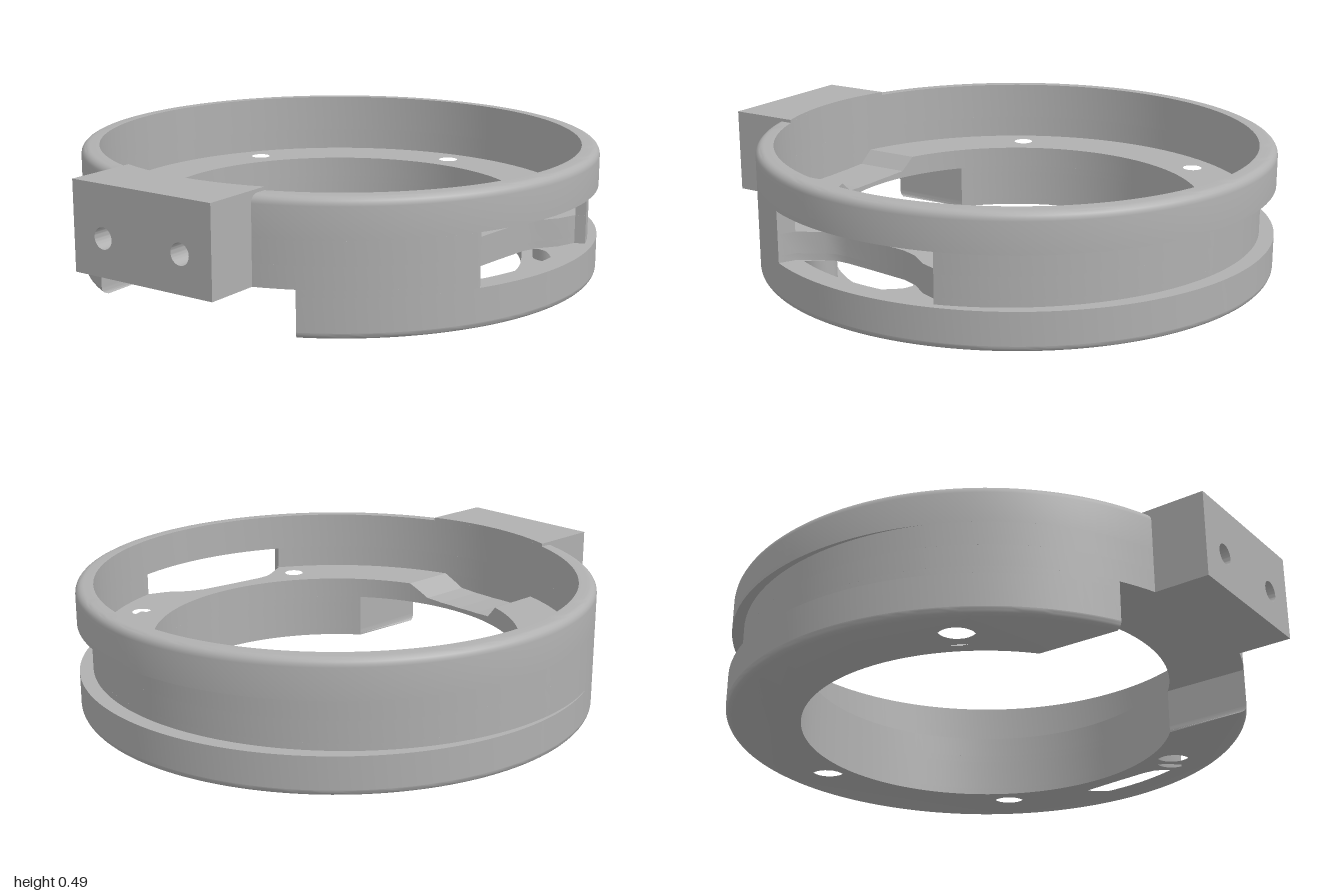
import * as THREE from 'three';
import { toCreasedNormals } from 'three/addons/utils/BufferGeometryUtils.js';

const RAD = Math.PI / 180;
const OUTER = 0.972, WALL = 0.905, BORE = 0.695;
const BLOCK = 136.6;                       // plan angle of the clamp block, from +x towards +z
const ux = Math.cos(BLOCK * RAD), uz = Math.sin(BLOCK * RAD);
const WINDOW = [31, 73.6];                 // plan angles of the side window

// plan points are [x, z] measured from the ring centre
const polar = (r, deg) => [r * Math.cos(deg * RAD), r * Math.sin(deg * RAD)];
// t runs across the block, u runs outward through it
const blockPoint = (t, u) => [t * uz + u * ux, -t * ux + u * uz];
const arc = (radius, a, b) => {
  const n = Math.max(2, Math.ceil(Math.abs(b - a) / 2));
  return Array.from({ length: n + 1 }, (_, i) => {
    const deg = a + (b - a) * i / n;
    return polar(typeof radius === 'function' ? radius(deg) : radius, deg);
  });
};
const groove = deg => Math.min(OUTER, 0.955 + 0.041 * Math.cos((deg - BLOCK) * RAD));
const vectors = pts => pts.map(([x, z]) => new THREE.Vector2(x, -z));

// horizontal slab between two heights
function slab(outline, y0, y1, holes = [], steps = 1) {
  const shape = new THREE.Shape(vectors(outline));
  holes.forEach(h => shape.holes.push(new THREE.Path(vectors(h))));
  const geo = new THREE.ExtrudeGeometry(shape, { depth: y1 - y0, bevelEnabled: false, steps });
  return geo.rotateX(-Math.PI / 2).translate(0, y0, 0);
}

// pocket edge, from the first window angle to the second
const pocketInner = [[0.555, 0.535], [0.44, 0.62], [0.335, 0.70], [0.30, 0.735], [0.285, 0.77]];
const pocketOpen = [[0.775, 0.467], [0.70, 0.50], [0.615, 0.51], ...pocketInner, [0.256, 0.868]];
const pocketThrough = [
  [0.555, 0.535], [0.595, 0.512], [0.62, 0.52], [0.635, 0.55], [0.635, 0.58],
  ...arc(0.888, 45, 72), ...pocketInner.slice(1).reverse(),
];

// ring with a straight-sided gap at the block (t from -left to +right)
function gappedRing(radius, left, right, withPocket) {
  const startAt = r => BLOCK + Math.asin(left / r) / RAD;
  const endAt = r => BLOCK + 360 - Math.asin(right / r) / RAD;
  const a = startAt(OUTER), b = endAt(OUTER);
  const outside = withPocket
    ? [...arc(radius, a, WINDOW[0] + 360), ...pocketOpen, ...arc(radius, WINDOW[1] + 360, b)]
    : arc(radius, a, b);
  return [...outside, ...arc(BORE, endAt(BORE), startAt(BORE))];
}

// five screw holes on a six-step bolt circle, the block takes the sixth
const screwHoles = r => [16.6, 76.6, 196.6, 256.6, 316.6].map(deg => {
  const [cx, cz] = polar(0.806, deg);
  return Array.from({ length: 24 }, (_, i) => {
    const [x, z] = polar(r, i * 15);
    return [cx + x, cz + z];
  });
});

export function createModel() {
  const grey = new THREE.MeshStandardMaterial({ color: 0xb0b0b0 });
  grey.name = 'grey';
  const model = new THREE.Group();
  model.name = 'clampRing';
  const add = (name, geo) => {
    const mesh = new THREE.Mesh(toCreasedNormals(geo, 0.6), grey);
    mesh.name = name;
    model.add(mesh);
    return mesh;
  };

  // lower flange, notched under the block, with a rounded bottom edge
  const R = 0.025;
  const flange = gappedRing(OUTER, 0.43, 0.43, false);
  const lowHoles = [...screwHoles(0.068), pocketThrough];
  const edge = slab(flange, 0, R, lowHoles, 4);
  const p = edge.attributes.position;
  for (let i = 0; i < p.count; i++) {
    const r = Math.hypot(p.getX(i), p.getZ(i));
    if (r < OUTER - 0.005) continue;
    const d = R - p.getY(i);
    const k = (OUTER - R + Math.sqrt(Math.max(0, R * R - d * d))) / OUTER;
    p.setX(i, p.getX(i) * k);
    p.setZ(i, p.getZ(i) * k);
  }
  add('lowerFlangeEdge', edge);
  add('lowerFlange', slab(flange, R, 0.145, lowHoles));

  // floor inside the tapering groove
  add('floorLower', slab(gappedRing(groove, 0.43, 0.43, true), 0.145, 0.17, screwHoles(0.068)));
  add('floorUpper', slab(gappedRing(groove, 0.23, 0.24, true), 0.17, 0.25, screwHoles(0.038)));

  // shallow channel in the floor leading to the block, one strip per slope
  const channel = [[-0.23, 0.25], [-0.18, 0.198], [-0.1, 0.19], [0, 0.187], [0.09, 0.19], [0.16, 0.198], [0.24, 0.25]];
  for (let i = 0; i < channel.length - 1; i++) {
    const [t0, y0] = channel[i], [t1, y1] = channel[i + 1];
    const side = (r, n) => Array.from({ length: n + 1 }, (_, j) => {
      const t = t0 + (t1 - t0) * j / n;
      return blockPoint(t, Math.sqrt(r * r - t * t));
    });
    const geo = slab([...side(BORE, 4), ...side(0.94, 4).reverse()], 0.17, 0.25);
    const q = geo.attributes.position;
    for (let j = 0; j < q.count; j++) {
      if (q.getY(j) < 0.2) continue;
      const t = q.getX(j) * uz - q.getZ(j) * ux;
      q.setY(j, y0 + (y1 - y0) * (t - t0) / (t1 - t0));
    }
    add('channelFloor', geo);
  }
  const backing = [...arc(0.96, BLOCK - 17, BLOCK + 17), ...arc(WALL, BLOCK + 17, BLOCK - 17)];
  add('channelEndWall', slab(backing, 0.17, 0.25));

  // wall behind the groove, open at the window
  const wall = [...arc(groove, WINDOW[1], WINDOW[0] + 360), ...arc(WALL, WINDOW[0] + 360, WINDOW[1])];
  add('grooveWall', slab(wall, 0.25, 0.335));

  // upper rim with a rounded top edge
  const top = 0.478, round = 0.03;
  const profile = [[WALL, 0.335], [OUTER, 0.335]];
  for (let i = 0; i <= 5; i++) {
    const [c, s] = polar(round, i * 18);
    profile.push([OUTER - round + c, top - round + s]);
  }
  profile.push([WALL, top], [WALL, 0.335]);
  add('upperRim', new THREE.LatheGeometry(profile.map(([x, y]) => new THREE.Vector2(x, y)), 144));

  // clamp block with two screw bores in its outer face
  const HALF = 0.295, FACE = 1.128, BACK = 0.91;
  const face = new THREE.Shape(vectors([[-HALF, -0.17], [HALF, -0.17], [HALF, -0.45], [-HALF, -0.45]]));
  for (const t of [-0.165, 0.165]) {
    face.holes.push(new THREE.Path().absarc(t, 0.305, 0.038, 0, Math.PI * 2, true));
  }
  const body = new THREE.ExtrudeGeometry(face, { depth: FACE - BACK, bevelEnabled: false, curveSegments: 24 });
  body.applyMatrix4(new THREE.Matrix4().makeBasis(
    new THREE.Vector3(uz, 0, -ux), new THREE.Vector3(0, 1, 0), new THREE.Vector3(ux, 0, uz)));
  add('clampBlock', body.translate(ux * BACK, 0, uz * BACK));

  // block top, following the inside of the wall
  const swing = Math.asin(HALF / WALL) / RAD;
  const cap = [blockPoint(-HALF, FACE), blockPoint(HALF, FACE), ...arc(WALL, BLOCK - swing, BLOCK + swing)];
  add('clampBlockTop', slab(cap, 0.45, 0.49));

  model.position.set(0.025, 0, -0.01);
  const root = new THREE.Group();
  root.name = 'model';
  root.add(model);
  return root;
}
